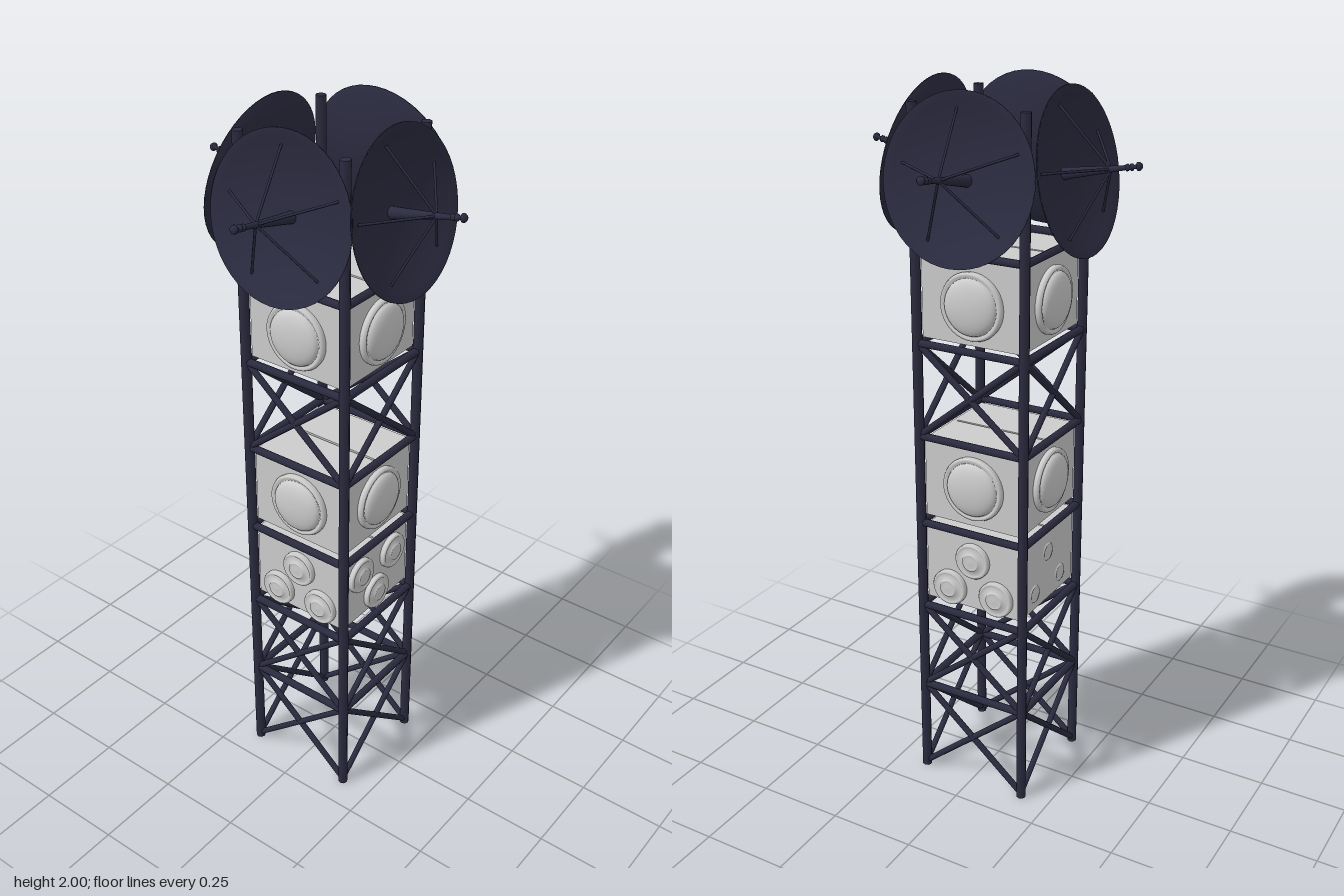
import * as THREE from 'three';

const DARK = new THREE.MeshStandardMaterial({ color: 0x2b2b40 });
const DARK_TWO_SIDED = new THREE.MeshStandardMaterial({ color: 0x2b2b40, side: THREE.DoubleSide });
const GREY = new THREE.MeshStandardMaterial({ color: 0xcccccc });

const HALF = 0.161; // leg distance from the tower axis
const LEVELS = [0.285, 0.55, 0.81, 1.07, 1.335, 1.59];
const DISH = { radius: 0.213, depth: 0.047, tilt: 0.19, y: 1.794, out: 0.224 };

function add(parent, name, geometry, material) {
  const mesh = new THREE.Mesh(geometry, material);
  mesh.name = name;
  parent.add(mesh);
  return mesh;
}

// Round bar between two points
function bar(parent, name, a, b, r0, r1 = r0, sides = 8) {
  const from = new THREE.Vector3(...a);
  const to = new THREE.Vector3(...b);
  const dir = to.clone().sub(from);
  const mesh = add(parent, name, new THREE.CylinderGeometry(r1, r0, dir.length(), sides), DARK);
  mesh.position.copy(from).add(to).multiplyScalar(0.5);
  mesh.quaternion.setFromUnitVectors(new THREE.Vector3(0, 1, 0), dir.normalize());
  return mesh;
}

// Lathe whose axis points along +z
function latheZ(points, segments) {
  const profile = points.map(([r, z]) => new THREE.Vector2(r, z));
  return new THREE.LatheGeometry(profile, segments).rotateX(Math.PI / 2);
}

// Legs, level beams and cross braces
function buildFrame() {
  const frame = new THREE.Group();
  frame.name = 'latticeFrame';
  for (let k = 0; k < 4; k++) {
    const side = new THREE.Group();
    side.name = 'frameSide';
    side.rotation.y = k * Math.PI / 2;
    frame.add(side);
    bar(side, 'leg', [HALF, 0, HALF], [HALF, 1.96, HALF], 0.014);
    for (const y of LEVELS) bar(side, 'beam', [-HALF, y, HALF], [HALF, y, HALF], 0.011);
    for (const [y0, y1] of [[0.01, 0.285], [0.285, 0.55], [1.07, 1.335]]) {
      bar(side, 'brace', [-HALF, y0, HALF], [HALF, y1, HALF], 0.009);
      bar(side, 'brace', [HALF, y0, HALF], [-HALF, y1, HALF], 0.009);
    }
  }
  return frame;
}

// Equipment cabinet with a narrow slot through it
function buildCabinet(y0, y1) {
  const s = 0.15;
  const rect = (Path, w, h) => new Path().moveTo(-w, -h).lineTo(w, -h).lineTo(w, h).lineTo(-w, h).closePath();
  const outline = new THREE.Shape();
  outline.moveTo(-s, -s).lineTo(s, -s).lineTo(s, s).lineTo(-s, s).closePath();
  const slot = new THREE.Path();
  slot.moveTo(-0.002, -0.138).lineTo(-0.002, 0.138).lineTo(0.005, 0.138).lineTo(0.005, -0.138).closePath();
  outline.holes.push(slot);
  const geometry = new THREE.ExtrudeGeometry(outline, { depth: y1 - y0, bevelEnabled: false });
  geometry.rotateX(-Math.PI / 2).translate(0, y0, 0);
  return geometry;
}

// Large domed drum: rolled rim, groove and shallow dome
function drumGeometry() {
  const points = [[0.09, -0.01], [0.092, 0.008], [0.089, 0.015], [0.083, 0.016], [0.078, 0.012]];
  for (let i = 0; i <= 8; i++) {
    const a = (i / 8) * Math.PI / 2;
    points.push([0.076 * Math.cos(a), 0.014 + 0.023 * Math.sin(a)]);
  }
  return latheZ(points, 40);
}

// Small stepped disc
function discGeometry() {
  return latheZ([
    [0.052, -0.01], [0.052, 0.011], [0.049, 0.015], [0.044, 0.015], [0.041, 0.012],
    [0.027, 0.015], [0.025, 0.02], [0.021, 0.02], [0.018, 0.018], [0, 0.02],
  ], 32);
}

function buildEquipment() {
  const equipment = new THREE.Group();
  equipment.name = 'equipment';
  for (const [y0, y1] of [[0.575, 0.803], [0.832, 1.062], [1.35, 1.583]]) {
    add(equipment, 'cabinet', buildCabinet(y0, y1), GREY);
  }
  const drum = drumGeometry();
  const disc = discGeometry();
  for (let k = 0; k < 4; k++) {
    const face = new THREE.Group();
    face.name = 'equipmentFace';
    face.rotation.y = k * Math.PI / 2;
    equipment.add(face);
    for (const y of [0.945, 1.457]) add(face, 'drumAntenna', drum, GREY).position.set(0.004, y, 0.15);
    // Triangle of discs, point down on the front, nearly flush on the back
    const flip = k === 0 ? -1 : 1;
    const z = k === 2 ? 0.134 : 0.15;
    for (const [x, up] of [[0, 1], [-0.074, -1], [0.074, -1]]) {
      add(face, 'smallDisc', disc, GREY).position.set(x, 0.675 + 0.05 * up * flip, z);
    }
  }
  return equipment;
}

// Parabolic dish facing +z, rim centre at the origin
function buildDish() {
  const dish = new THREE.Group();
  dish.name = 'dish';
  const { radius: R, depth: D } = DISH;
  const bowlZ = (r) => D * ((r / R) ** 2 - 1);
  const points = [];
  for (let i = 0; i <= 10; i++) points.push([R * i / 10, bowlZ(R * i / 10) - 0.004]);
  for (let i = 10; i >= 0; i--) points.push([R * i / 10, bowlZ(R * i / 10)]);
  add(dish, 'reflector', latheZ(points, 48), DARK_TWO_SIDED);

  // Tapered feed with collars and a rounded tip
  add(dish, 'feed', latheZ([
    [0.016, -D], [0.014, -0.02], [0.008, 0.085], [0.006, 0.125], [0.009, 0.127], [0.009, 0.131],
    [0.006, 0.133], [0.006, 0.137], [0.009, 0.139], [0.009, 0.143], [0.005, 0.145], [0.005, 0.155],
    [0.011, 0.157], [0.011, 0.162], [0.007, 0.167], [0, 0.168],
  ], 16), DARK_TWO_SIDED);

  // Five support struts
  for (let i = 0; i < 5; i++) {
    const a = THREE.MathUtils.degToRad(99 + 72 * i);
    const r = 0.172;
    bar(dish, 'strut', [r * Math.cos(a), r * Math.sin(a), bowlZ(r)], [0, 0, 0.084], 0.0035, 0.0035, 6);
  }
  return dish;
}

export function createModel() {
  const model = new THREE.Group();
  model.name = 'communicationsTower';

  const tower = new THREE.Group();
  tower.name = 'tower';
  tower.position.set(-0.005, 0, -0.003);
  tower.add(buildFrame(), buildEquipment());
  model.add(tower);

  // Dishes on the four sides, tilted slightly upward
  [-0.01, 0.012, 0.015, 0.006].forEach((shift, k) => {
    const mount = new THREE.Group();
    mount.name = 'dishMount';
    mount.rotation.y = k * Math.PI / 2;
    const dish = buildDish();
    dish.position.set(shift, DISH.y, DISH.out);
    dish.rotation.x = -DISH.tilt;
    mount.add(dish);
    model.add(mount);
  });
  return model;
}
